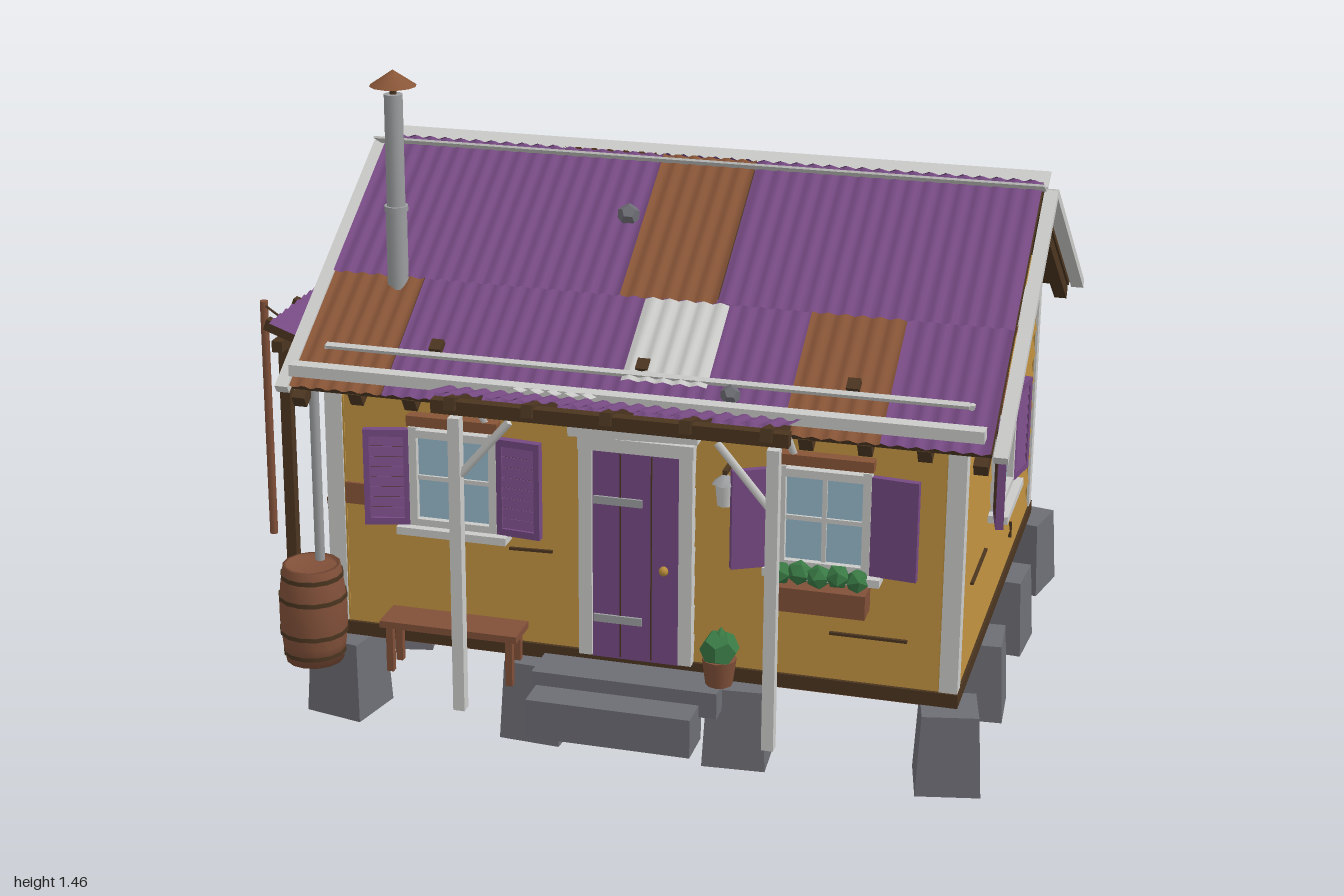
import * as THREE from 'three';

const mat = (name, color, opts = {}) => Object.assign(new THREE.MeshStandardMaterial({ color, ...opts }), { name });
const D = { side: THREE.DoubleSide };
const gold = mat('ochre siding', 0xb88c3c), purple = mat('purple paint', 0x764a83, D), rust = mat('rusty metal', 0x885537, D);
const white = mat('weathered white', 0xcbcbc9, D), stone = mat('stone', 0x6d6d75), dark = mat('dark timber', 0x4b3520);
const glass = mat('window glass', 0x96bbcd), green = mat('leaves', 0x3a7a45), steel = mat('dull steel', 0x9c9e9f, D), wood = mat('brown wood', 0x815039);

const RIDGE_Z = -0.076, RIDGE_Y = 1.2, SLOPE = 0.615, TILT = Math.atan(SLOPE);

function add(parent, name, geo, m, x = 0, y = 0, z = 0, rx = 0, ry = 0, rz = 0) {
  const mesh = new THREE.Mesh(geo, m);
  mesh.name = name;
  mesh.position.set(x, y, z);
  mesh.rotation.set(rx, ry, rz);
  parent.add(mesh);
  return mesh;
}
const box = (p, name, m, w, h, d, x, y, z, rx, ry, rz) => add(p, name, new THREE.BoxGeometry(w, h, d), m, x, y, z, rx, ry, rz);
function group(parent, name, x = 0, y = 0, z = 0, ry = 0) {
  const g = new THREE.Group();
  g.name = name;
  g.position.set(x, y, z);
  g.rotation.y = ry;
  parent.add(g);
  return g;
}
// round bar between two points
function bar(p, name, m, a, b, r, sides = 6) {
  const A = new THREE.Vector3(...a), B = new THREE.Vector3(...b), dir = B.clone().sub(A);
  const mesh = add(p, name, new THREE.CylinderGeometry(r, r, dir.length(), sides), m);
  mesh.position.copy(A).add(B).multiplyScalar(0.5);
  mesh.quaternion.setFromUnitVectors(new THREE.Vector3(0, 1, 0), dir.normalize());
}
// corrugated sheet lying flat, ribs along z
function sheetGeo(w, l) {
  const g = new THREE.PlaneGeometry(w, l, Math.max(4, Math.round(w / 0.0095)), 1).rotateX(-Math.PI / 2), p = g.attributes.position;
  for (let i = 0; i < p.count; i++) p.setY(i, 0.004 * Math.cos(p.getX(i) * Math.PI * 2 / 0.038));
  g.computeVertexNormals();
  return g;
}
// piece on the main roof: s = +1 front, -1 back; d is the distance from the ridge
function onRoof(p, name, m, s, d0, d1, x0, x1, off, thick) {
  const len = (d1 - d0) * Math.hypot(1, SLOPE), d = (d0 + d1) / 2;
  const geo = thick ? new THREE.BoxGeometry(x1 - x0, thick, len) : sheetGeo(x1 - x0, len);
  add(p, name, geo, m, (x0 + x1) / 2, RIDGE_Y - SLOPE * d + off, RIDGE_Z + s * d, s * TILT);
}
// overlapping boards of one wall, outside face at local z = 0
function siding(wall, half, top, gable) {
  const n = gable ? 14 : 9, step = (top - 0.22) / n, lap = gable ? 0.011 : 0.008;
  const hw = y => gable ? Math.max(0.002, Math.min(half, (1.168 - y) / SLOPE)) : half;
  for (let i = 0; i < n; i++) {
    const g = new THREE.BoxGeometry(2, step, 0.04), p = g.attributes.position, y0 = 0.22 + i * step;
    for (let k = 0; k < p.count; k++) {
      const up = p.getY(k) > 0, y = up ? y0 + step : y0;
      p.setXYZ(k, p.getX(k) * hw(y), y, p.getZ(k) < 0 ? -0.04 : up ? -lap : 0);
    }
    g.computeVertexNormals();
    add(wall, 'sidingBoard', g, gold);
  }
}
function shutter(win, s, w, h, louvred, open, hinge) {
  const g = group(win, 'shutter', s * hinge, 0, 0.014, -s * open), c = s * w / 2;
  if (!louvred) { box(g, 'shutterPanel', purple, w, h, 0.016, c, 0, 0); return; }
  box(g, 'shutterBack', dark, w - 0.01, h - 0.01, 0.004, c, 0, -0.007);
  for (const k of [-1, 1]) {
    box(g, 'shutterStile', purple, 0.013, h, 0.018, c + k * (w / 2 - 0.0065), 0, 0);
    box(g, 'shutterRail', purple, w, 0.016, 0.018, c, k * (h / 2 - 0.008), 0);
  }
  const gap = (h - 0.032) / 8;
  for (let i = 0; i < 8; i++) box(g, 'slat', purple, w - 0.026, gap * 0.88, 0.005, c, (i - 3.5) * gap, 0.003, -0.25);
}
function windowUnit(wall, u, y, w, h, louvred, opens) {
  const g = group(wall, 'window', u, y, 0);
  box(g, 'glassPane', glass, w, h, 0.008, 0, 0, 0.004);
  [-1, 1].forEach((k, i) => {
    box(g, 'frameSide', white, 0.018, h + 0.03, 0.026, k * w / 2, 0, 0.01);
    box(g, 'frameRail', white, w, 0.018, 0.026, 0, k * h / 2, 0.01);
    shutter(g, k, 0.102, 0.225, louvred, opens[i], w / 2 + 0.01);
  });
  box(g, 'muntin', white, 0.01, h, 0.012, 0, 0, 0.008);
  box(g, 'muntin', white, w, 0.01, 0.012, 0, 0, 0.008);
  box(g, 'windowSill', white, w + 0.07, 0.018, 0.045, 0, -h / 2 - 0.016, 0.02);
  box(g, 'windowHead', rust, w + 0.025, 0.024, 0.03, 0, h / 2 + 0.03, 0.01);
}
function barrel(p, x, y, z, r, h, rz = 0) {
  const g = group(p, 'barrel', x, y, z);
  g.rotation.z = rz;
  const at = t => r * (0.84 + 0.16 * Math.sin(Math.PI * t));
  const pts = [[0, 0], ...[0, 0.2, 0.4, 0.6, 0.8, 1].map(t => [at(t), t * h]), [at(1) * 0.88, h], [at(1) * 0.88, h - 0.01], [0, h - 0.01]];
  add(g, 'barrelBody', new THREE.LatheGeometry(pts.map(q => new THREE.Vector2(...q)), 14), wood);
  for (const t of [0.1, 0.32, 0.68, 0.9]) add(g, 'hoop', new THREE.CylinderGeometry(at(t) + 0.002, at(t) + 0.002, 0.01, 14), dark, 0, t * h, 0);
}
const rock = (p, x, y, z, r) => add(p, 'rock', new THREE.DodecahedronGeometry(r), stone, x, y, z, 0.4, 0.7, 0.2);

export function createModel() {
  const model = new THREE.Group();
  model.name = 'shack';

  // foundation blocks around the edge, sill and floor planks
  const base = group(model, 'foundation');
  [-0.5, -0.04, 0.42, 0.885].forEach((x, i) => [0.49, 0.11, -0.265, -0.64].forEach((z, j) => {
    if (i % 3 && j % 3) return;
    const turn = ((i * 5 + j * 3) % 4 - 1.5) * 0.14;
    add(base, 'block', new THREE.CylinderGeometry(0.087, 0.1, 0.185, 4).rotateY(Math.PI / 4).toNonIndexed(), stone, x, 0.096, z, 0, turn).geometry.computeVertexNormals();
  }));
  box(base, 'sill', dark, 1.44, 0.032, 1.165, 0.185, 0.206, -0.075);
  for (let i = 0; i < 14; i++) box(base, 'floorPlank', wood, 1.42, 0.008, 0.078, 0.185, 0.188, -0.608 + i * 0.082);

  // walls
  const walls = group(model, 'walls');
  const front = group(walls, 'frontWall', 0.185, 0, 0.5), back = group(walls, 'backWall', 0.185, 0, -0.65, Math.PI);
  const right = group(walls, 'leftGableWall', 0.9, 0, -0.075, Math.PI / 2), left = group(walls, 'rightGableWall', -0.53, 0, -0.075, -Math.PI / 2);
  for (const w of [front, back]) siding(w, 0.712, 0.84, false);
  for (const w of [right, left]) {
    siding(w, 0.574, 1.165, true);
    box(w, 'gableBand', white, 1.1, 0.028, 0.014, 0, 0.857, 0.002);
    const vent = group(w, 'vent', 0, 1.017, 0);
    box(vent, 'ventFrame', white, 0.106, 0.086, 0.016, 0, 0, 0);
    for (let i = 0; i < 4; i++) box(vent, 'ventSlat', purple, 0.085, 0.012, 0.012, 0, (i - 1.5) * 0.019, 0.006);
  }
  for (const x of [-0.513, 0.883]) for (const z of [0.483, -0.633]) box(walls, 'cornerBoard', white, 0.04, 0.61, 0.04, x, 0.525, z);
  windowUnit(right, -0.055, 0.592, 0.185, 0.21, true, [0.2, 0.2]);
  windowUnit(left, 0.055, 0.592, 0.185, 0.21, true, [0.2, 0.2]);
  windowUnit(front, -0.413, 0.595, 0.185, 0.21, true, [0.25, 0.1]);
  windowUnit(front, 0.42, 0.595, 0.185, 0.21, false, [0.5, 0.1]);
  // cracks and patched boards
  for (const [w, u, y, l, a, m, h] of [
    [right, 0.23, 0.735, 0.27, 0.08, stone, 0.007], [right, 0.35, 0.512, 0.2, 0.03, stone, 0.007], [right, -0.31, 0.41, 0.2, 0, dark, 0.006],
    [right, 0.3, 0.828, 0.5, 0, rust, 0.024], [front, 0.52, 0.33, 0.17, 0, dark, 0.006], [front, -0.24, 0.445, 0.1, 0.03, dark, 0.006],
    [front, -0.65, 0.535, 0.05, 0, rust, 0.05], [back, -0.2, 0.62, 0.05, 1.57, dark, 0.004], [back, 0.1, 0.5, 0.06, 1.57, dark, 0.004],
    [back, 0.15, 0.68, 0.05, 1.57, dark, 0.004], [back, -0.1, 0.4, 0.05, 1.57, dark, 0.004], [right, 0.1, 0.43, 0.04, 1.57, dark, 0.004], [right, 0.21, 0.29, 0.04, 1.57, dark, 0.004]])
    box(w, 'boardMark', m, l, h, 0.008, u, y, 0, 0, 0, a);

  // door
  const door = group(front, 'door', 0.005, 0, 0);
  box(door, 'doorPanel', purple, 0.2, 0.49, 0.016, 0, 0.46, 0.008);
  for (const k of [-1, 1]) {
    box(door, 'doorPost', white, 0.03, 0.5, 0.032, k * 0.113, 0.47, 0.008);
    box(door, 'doorGroove', dark, 0.003, 0.48, 0.004, k * 0.035, 0.46, 0.0155);
    box(door, 'hinge', steel, 0.11, 0.018, 0.007, -0.04, 0.45 + k * 0.14, 0.018);
  }
  box(door, 'doorLintel', white, 0.26, 0.03, 0.032, 0, 0.72, 0.008);
  box(door, 'doorHead', white, 0.29, 0.035, 0.04, -0.005, 0.757, 0.012, 0, 0, 0.03);
  add(door, 'knob', new THREE.SphereGeometry(0.011, 8, 6), gold, 0.065, 0.44, 0.024);
  const steps = group(model, 'steps');
  box(steps, 'upperStep', stone, 0.42, 0.06, 0.11, 0.187, 0.172, 0.55);
  box(steps, 'lowerStep', stone, 0.37, 0.09, 0.1, 0.172, 0.125, 0.632);

  // main roof: deck, barge boards, rafter tails, sheets
  const roof = group(model, 'roof');
  const L = -0.585, R = 0.96;
  const rows = [
    [1, 0, 0.37, 0.013, [[L, 0.09, purple], [0.09, 0.31, rust], [0.31, R, purple]]],
    [1, 0.35, 0.65, 0.003, [[L, -0.37, rust], [-0.37, 0.52, purple], [0.52, 0.73, rust], [0.73, R, purple]]],
    [-1, 0, 0.385, 0.013, [[L, -0.15, purple], [-0.15, 0.07, rust], [0.07, R, purple]]],
    [-1, 0.37, 0.67, 0.003, [[L, 0.5, purple], [0.5, 0.71, rust], [0.71, R, purple]]]];
  for (const [s, d0, d1, off, cols] of rows) for (const [x0, x1, m] of cols) onRoof(roof, 'roofSheet', m, s, d0, d1, x0, x1, off);
  onRoof(roof, 'roofPatch', white, 1, 0.376, 0.576, 0.15, 0.34, 0.019);
  onRoof(roof, 'roofPatch', white, -1, 0.224, 0.414, -0.15, 0.05, 0.026);
  for (const s of [1, -1]) {
    const end = s > 0 ? 0.645 : 0.665;
    onRoof(roof, 'roofDeck', dark, s, 0, end - 0.01, L, R, -0.014, 0.014);
    for (const k of [-1, 1]) {
      const x = 0.1875 + k * 0.7925, inner = x - k * 0.04;
      onRoof(roof, 'bargeBoard', white, s, 0, end, x - 0.015, x + 0.015, -0.012, 0.02);
      onRoof(roof, 'bargeTimber', dark, s, 0, end, inner - 0.015, inner + 0.015, -0.038, 0.03);
    }
    for (let i = 0; i < 11; i++) onRoof(roof, 'rafterTail', dark, s, 0.5, end - 0.02, -0.455 + i * 0.126, -0.425 + i * 0.126, -0.04, 0.036);
    // upturned ridge flaps, pole and cleats
    box(roof, 'ridgeFlap', white, 1.57, 0.005, 0.056, 0.185, 1.208, RIDGE_Z + s * 0.034, -s * 0.45);
    const d = s > 0 ? 0.56 : 0.572, y = RIDGE_Y - SLOPE * d + 0.018;
    box(roof, 'roofPole', white, 1.43, 0.01, 0.012, 0.185, y, RIDGE_Z + s * d, s * TILT);
    for (const x of [-0.28, 0.19, 0.65]) box(roof, 'cleat', dark, 0.028, 0.022, 0.03, x, y + 0.01, RIDGE_Z + s * (d - 0.025), s * TILT);
  }
  box(roof, 'gutter', white, 1.52, 0.026, 0.034, 0.19, 0.852, 0.592);
  bar(roof, 'downspout', steel, [-0.548, 0.2, 0.525], [-0.548, 0.84, 0.525], 0.012, 8);
  rock(roof, 0.055, 1.115, 0.1, 0.026);
  rock(roof, 0.7, 0.94, -0.55, 0.028);
  // half dish resting on the back slope
  add(roof, 'dishRim', new THREE.TorusGeometry(0.06, 0.021, 8, 18, 4.1).rotateX(-Math.PI / 2), steel, 0.08, 1.08, -0.332, 0.1).scale.set(1, 0.9, 1);

  // stove pipe
  const pipe = group(model, 'stovePipe', -0.43, 0, 0.293);
  add(pipe, 'lowerPipe', new THREE.CylinderGeometry(0.024, 0.024, 0.22, 14), steel, 0, 1.03, 0);
  add(pipe, 'upperPipe', new THREE.CylinderGeometry(0.021, 0.021, 0.27, 14), steel, 0, 1.27, 0);
  add(pipe, 'collar', new THREE.CylinderGeometry(0.027, 0.027, 0.012, 14), steel, 0, 1.145, 0);
  bar(pipe, 'capStem', dark, [0, 1.4, 0], [0, 1.44, 0], 0.008);
  add(pipe, 'rainCap', new THREE.ConeGeometry(0.053, 0.036, 12), rust, 0, 1.442, 0);

  // porch roof, tipped up toward the front
  const porch = group(model, 'porch');
  const tip = -Math.atan(0.25);
  add(porch, 'porchSheet', sheetGeo(0.77, 0.21), purple, 0.185, 0.857, 0.63, tip);
  add(porch, 'porchPatch', sheetGeo(0.19, 0.14), white, 0.035, 0.859, 0.59, tip);
  for (let i = 0; i < 5; i++) box(porch, 'porchRafter', dark, 0.024, 0.028, 0.21, -0.155 + i * 0.17, 0.836, 0.637, tip);
  box(porch, 'porchBeam', dark, 0.77, 0.03, 0.026, 0.185, 0.848, 0.715);
  [[-0.155, 1], [0.535, -1]].forEach(([x, s]) => {
    box(porch, 'porchPost', white, 0.026, 0.68, 0.026, x, 0.48, 0.702);
    bar(porch, 'porchBrace', white, [x + s * 0.01, 0.69, 0.702], [x + s * 0.12, 0.82, 0.702], 0.009, 4);
    bar(porch, 'eaveBrace', white, [x, 0.73, 0.5], [x, 0.81, 0.585], 0.009, 4);
  });
  rock(porch, 0.4, 0.865, 0.53, 0.022);

  // side shelter, tipped up away from the wall
  const shelter = group(model, 'sideShelter');
  const lean = group(shelter, 'shelterRoof', -0.69, 0.742, -0.235, 0);
  lean.rotation.z = -0.34;
  add(lean, 'shelterSheet', sheetGeo(0.73, 0.28).rotateY(Math.PI / 2), purple);
  add(lean, 'shelterPatch', sheetGeo(0.2, 0.16).rotateY(Math.PI / 2), white, 0, 0.006, 0.065);
  for (let i = 0; i < 5; i++) box(lean, 'shelterRafter', dark, 0.3, 0.028, 0.024, -0.005, -0.02, -0.335 + i * 0.167);
  box(shelter, 'shelterBeam', dark, 0.026, 0.028, 0.73, -0.805, 0.728, -0.235);
  for (const z of [-0.55, 0.08]) box(shelter, 'shelterPost', dark, 0.026, 0.58, 0.026, -0.805, 0.44, z);
  rock(shelter, -0.71, 0.775, -0.1, 0.028);

  // washing line
  const line = group(model, 'washingLine');
  bar(line, 'linePole', wood, [-0.988, 0.09, -0.22], [-0.988, 0.72, -0.22], 0.011, 8);
  const lineAt = t => [-0.988 + t * 0.45, 0.71 - 0.12 * t * (1 - t), -0.22 + t * 0.31];
  for (let i = 0; i < 8; i++) bar(line, 'rope', dark, lineAt(i / 8), lineAt((i + 1) / 8), 0.003, 5);
  for (const [t, w, h, m] of [[0.27, 0.13, 0.145, white], [0.53, 0.14, 0.12, gold], [0.86, 0.12, 0.11, white]]) {
    const [x, y, z] = lineAt(t);
    box(line, 'cloth', m, w, h, 0.004, x, y - h / 2, z, 0, -0.6);
  }

  // barrels, firewood and climbing vine
  barrel(model, -0.548, 0.155, 0.575, 0.078, 0.23);
  barrel(model, -0.665, 0.155, -0.01, 0.072, 0.215, 0.05);
  const pile = group(model, 'woodPile');
  for (let r = 0; r < 4; r++) for (let c = 0; c < 4; c++)
    box(pile, 'firewood', (r + c) % 3 ? wood : rust, 0.034, 0.03, 0.4 - 0.03 * ((r + 2 * c) % 3), -0.69 + c * 0.039, 0.175 + r * 0.033, -0.32);
  const vine = group(model, 'vine');
  for (let i = 0; i < 12; i++)
    add(vine, 'leafClump', new THREE.IcosahedronGeometry(0.04 + 0.007 * (i % 3)).rotateX(i).rotateY(i * 2).scale(0.4, 1, 1), green, -0.543, 0.22 + i * 0.043, -0.595 + 0.02 * Math.sin(i * 2));

  // bench, flower box, potted shrub and lantern
  const bench = group(model, 'bench', -0.22, 0, 0.555);
  box(bench, 'benchSeat', wood, 0.32, 0.016, 0.09, 0, 0.268, 0);
  for (const x of [-0.14, 0.14]) for (const z of [-0.03, 0.03]) box(bench, 'benchLeg', wood, 0.016, 0.11, 0.016, x, 0.207, z);
  const planter = group(model, 'flowerBox', 0.6, 0, 0.535);
  box(planter, 'planterBox', wood, 0.215, 0.055, 0.06, 0, 0.425, 0);
  for (let i = 0; i < 5; i++) add(planter, 'flowerLeaves', new THREE.IcosahedronGeometry(0.028), green, (i - 2) * 0.042, 0.474 + 0.005 * (i % 2), 0, i, i);
  const pot = group(model, 'pottedShrub', 0.39, 0, 0.555);
  add(pot, 'pot', new THREE.CylinderGeometry(0.038, 0.03, 0.06, 10), wood, 0, 0.235, 0);
  add(pot, 'shrub', new THREE.DodecahedronGeometry(0.044), green, 0, 0.288, 0);
  add(pot, 'shrubTop', new THREE.ConeGeometry(0.036, 0.05, 6), green, 0.003, 0.315, 0);
  const lamp = group(model, 'lantern', 0.395, 0, 0.545);
  box(lamp, 'lampArm', dark, 0.01, 0.01, 0.05, 0, 0.695, -0.02);
  add(lamp, 'lampBody', new THREE.CylinderGeometry(0.022, 0.017, 0.05, 6), white, 0, 0.645, 0);
  add(lamp, 'lampRoof', new THREE.ConeGeometry(0.03, 0.024, 6), steel, 0, 0.682, 0);
  return model;
}
